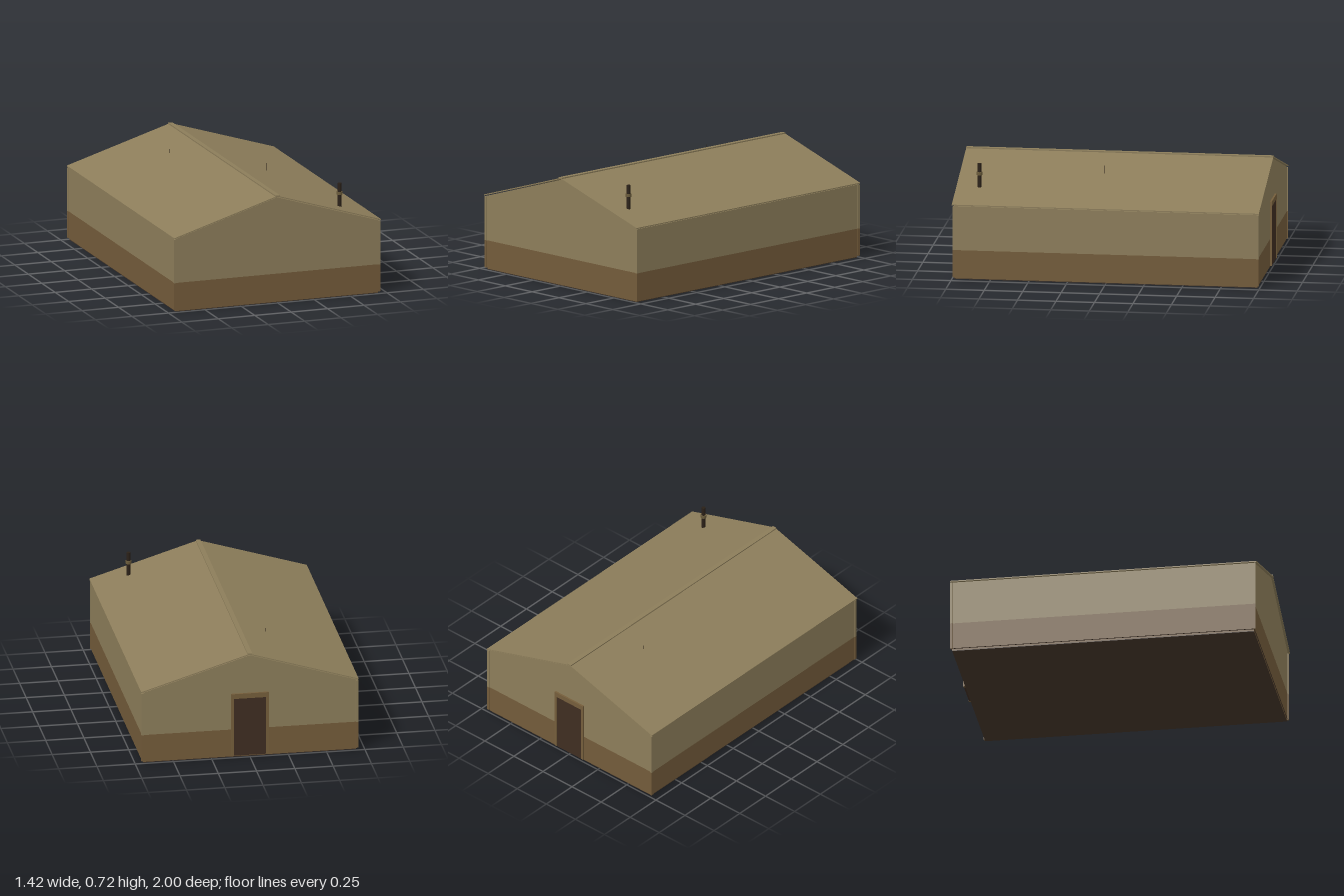
import * as THREE from 'three';

const paint = (name, color) => {
  const m = new THREE.MeshStandardMaterial({ color });
  m.name = name;
  return m;
};

export function createModel() {
  const house = new THREE.Group();
  house.name = 'house';
  const tan = paint('tan plaster', 0x8c7d5a);
  const brown = paint('brown base', 0x735b3a);
  const frameBrown = paint('frame brown', 0x755e3b);
  const floorDark = paint('dark floor', 0x443528);
  const doorDark = paint('dark door', 0x3f2d21);
  const iron = paint('dark iron', 0x2a2017);
  const collarMat = paint('collar brown', 0x6a5b3b);

  const add = (name, geo, mat, x = 0, y = 0, z = 0) => {
    const m = new THREE.Mesh(geo, mat);
    m.name = name;
    m.position.set(x, y, z);
    house.add(m);
    return m;
  };
  // Box given by its lower and upper corners
  const box = (name, mat, x0, x1, y0, y1, z0, z1) =>
    add(name, new THREE.BoxGeometry(x1 - x0, y1 - y0, z1 - z0), mat,
      (x0 + x1) / 2, (y0 + y1) / 2, (z0 + z1) / 2);
  // Outline in x and y, drawn out from z0 to z1
  const prism = (name, mat, points, z0, z1) => {
    const shape = new THREE.Shape(points.map(([x, y]) => new THREE.Vector2(x, y)));
    const geo = new THREE.ExtrudeGeometry(shape, { depth: z1 - z0, bevelEnabled: false });
    return add(name, geo, mat, 0, 0, z0);
  };

  // Floor slab with a dark underside, and two-tone walls
  const W = 0.704, D = 0.988, split = 0.192;
  box('floorUnderside', floorDark, -0.695, 0.695, 0, 0.004, -0.983, 0.983);
  box('floorSlab', brown, -0.695, 0.695, 0.004, 0.015, -0.983, 0.983);
  // Lower walls: dark on the face that looks down
  const lowerWalls = box('lowerWalls', brown, -W, W, 0.015, split, -D, D);
  lowerWalls.material = [brown, brown, brown, floorDark, brown, brown];
  prism('upperWalls', tan,
    [[-W, split], [W, split], [W, 0.482], [0, 0.699], [-W, 0.482]], -D, D);

  // Corner posts, painted like the walls
  for (const sx of [-1, 1]) for (const sz of [-1, 1]) {
    const x = sx * 0.7, z = sz * 0.986;
    box('lowerCornerPost', brown, x - 0.008, x + 0.008, 0.013, split, z - 0.008, z + 0.008);
    box('upperCornerPost', tan, x - 0.008, x + 0.008, split, 0.481, z - 0.008, z + 0.008);
  }

  // Thin roof sheets with a narrow gap above the gables
  const E = 0.71, roofZ0 = -0.995, roofZ1 = 1;
  for (const s of [-1, 1]) {
    prism('roofSheet', tan,
      [[0, 0.705], [s * E, 0.486], [s * E, 0.493], [0, 0.712]], roofZ0, roofZ1);
  }
  box('ridgeCap', tan, -0.015, 0.015, 0.704, 0.715, roofZ0, roofZ1);

  // Back door with its frame
  for (const s of [-1, 1]) {
    const a = s * 0.104, b = s * 0.122;
    box('doorPost', frameBrown, Math.min(a, b), Math.max(a, b), 0.015, 0.44, -1, -0.98);
  }
  box('doorLintel', frameBrown, -0.104, 0.104, 0.407, 0.44, -1, -0.98);
  box('door', doorDark, -0.104, 0.104, 0.013, 0.407, -0.997, -0.98);

  // Stove pipe and collar
  const pipe = (name, mat, r, y0, y1, x, z, n) =>
    add(name, new THREE.CylinderGeometry(r, r, y1 - y0, n), mat, x, (y0 + y1) / 2, z);
  pipe('stovePipe', iron, 0.013, 0.55, 0.718, 0.48, 0.85, 12);
  pipe('pipeCollar', collarMat, 0.019, 0.642, 0.662, 0.48, 0.85, 12);

  // Two slender roof rods
  pipe('roofRod', iron, 0.0012, 0.62, 0.68, 0.27, 0.065, 6);
  pipe('roofRod', iron, 0.0012, 0.64, 0.68, -0.19, -0.49, 6);

  return house;
}
